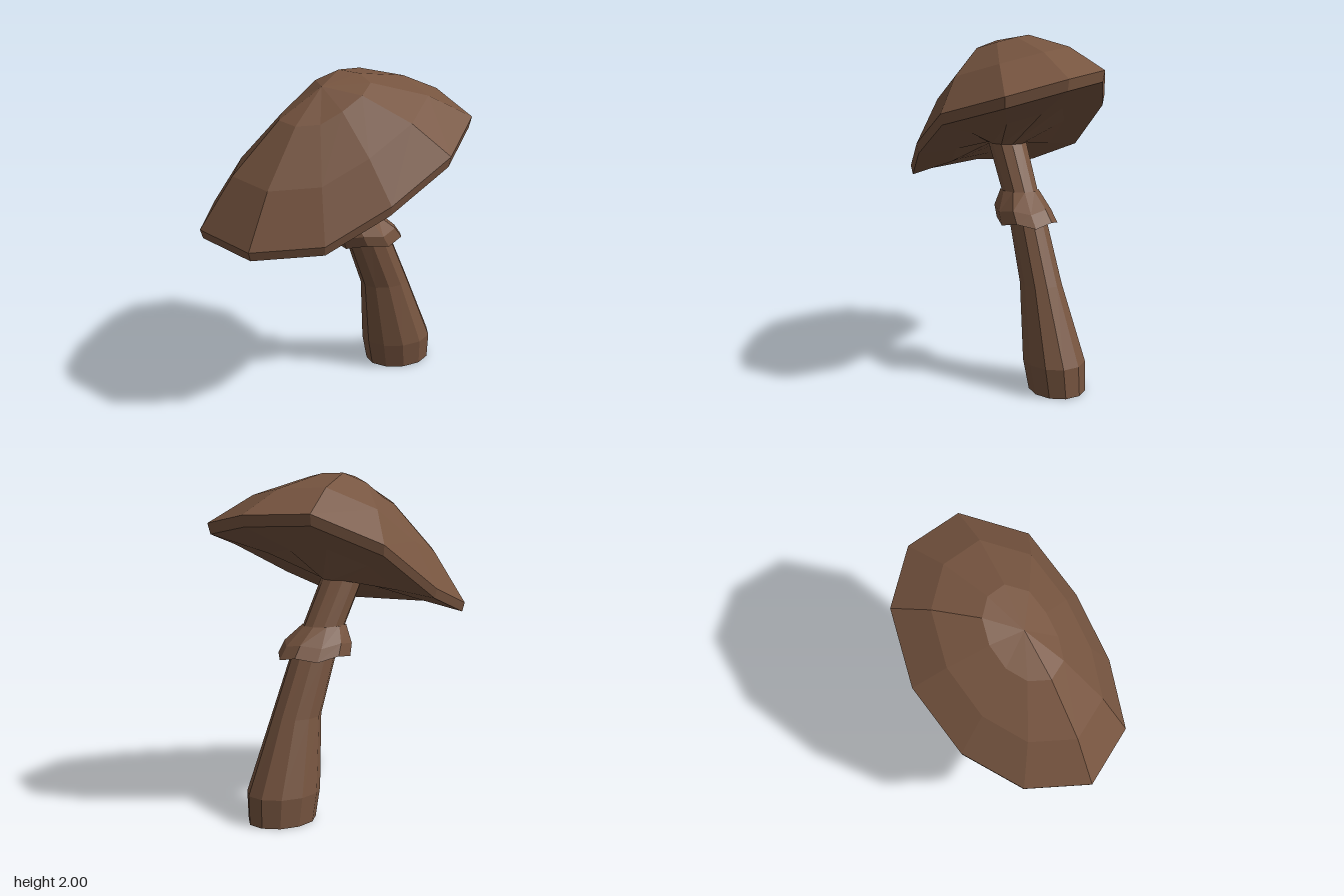
import * as THREE from 'three';

const brown = new THREE.MeshStandardMaterial({ color: 0x775540, flatShading: true });
brown.name = 'mushroom brown';

// Faceted skin over equal-length rings, listed bottom to top (or inside to outside)
function loft(name, rings) {
  const pos = [];
  const tri = (a, b, c) => {
    if (a.distanceTo(b) < 1e-5 || b.distanceTo(c) < 1e-5 || c.distanceTo(a) < 1e-5) return;
    for (const p of [a, b, c]) pos.push(p.x, p.y, p.z);
  };
  for (let k = 0; k < rings.length - 1; k++) {
    const lo = rings[k], hi = rings[k + 1], n = lo.length;
    for (let i = 0; i < n; i++) {
      const j = (i + 1) % n;
      tri(lo[i], lo[j], hi[j]);
      tri(lo[i], hi[j], hi[i]);
    }
  }
  const geo = new THREE.BufferGeometry();
  geo.setAttribute('position', new THREE.Float32BufferAttribute(pos, 3));
  geo.computeVertexNormals();
  const mesh = new THREE.Mesh(geo, brown);
  mesh.name = name;
  return mesh;
}

// Oval ring from its x and z limits; wave lifts and drops alternate corners
function oval(y, x0, x1, z0, z1, { wave = 0, sides = 11 } = {}) {
  return Array.from({ length: sides }, (_, i) => {
    const a = ((i + 0.1) / sides) * Math.PI * 2;
    return new THREE.Vector3(
      (x0 + x1) / 2 + (Math.cos(a) * (x1 - x0)) / 2,
      y + (i % 2 ? wave : -wave),
      (z0 + z1) / 2 - (Math.sin(a) * (z1 - z0)) / 2);
  });
}

export function createModel() {
  const group = new THREE.Group();
  group.name = 'mushroom';

  // Cap: an uneven tilted rim, scaled and shifted to make the other rings
  const rim = [
    [0.74, 1.8, -0.2], [0.45, 1.82, -0.47], [0.05, 1.64, -0.57], [-0.33, 1.355, -0.49],
    [-0.65, 1.21, -0.27], [-0.82, 1.19, 0.08], [-0.63, 1.165, 0.43], [-0.23, 1.2, 0.565],
    [0.16, 1.39, 0.565], [0.55, 1.605, 0.47], [0.815, 1.72, 0.16],
  ];
  const capRing = (s, cx, cy, cz) => rim.map(([x, y, z]) =>
    new THREE.Vector3(cx + s * x, cy + s * (y - 1.48), cz + s * z));
  const stemTop = oval(1.37, -0.1, 0.16, -0.1, 0.125);
  group.add(loft('cap', [
    stemTop,
    capRing(0.58, 0, 1.395, 0),
    capRing(0.98, 0, 1.42, 0),
    capRing(1, 0, 1.48, 0),
    capRing(0.71, -0.04, 1.7, 0.03),
    capRing(0.33, -0.07, 1.888, 0.05),
    capRing(0, -0.08, 1.96, 0.06),
  ]));

  // Leaning stem, closed at the base
  group.add(loft('stem', [
    oval(0, 0.52, 0.52, -0.19, -0.19),
    oval(0, 0.315, 0.725, -0.355, -0.03),
    oval(0.17, 0.28, 0.725, -0.355, 0),
    oval(0.6, 0.24, 0.545, -0.24, 0),
    oval(0.96, 0.11, 0.39, -0.175, 0.04),
    oval(1.11, 0.04, 0.3, -0.14, 0.07),
    stemTop,
  ]));

  // Skirt flaring around the stem, with a ragged hem tucked back underneath
  const hem = { sides: 10 };
  group.add(loft('skirt', [
    oval(0.99, 0.09, 0.38, -0.17, 0.045, hem),
    oval(0.94, 0.025, 0.475, -0.24, 0.11, { ...hem, wave: 0.012 }),
    oval(1.01, 0.005, 0.425, -0.21, 0.118, { ...hem, wave: 0.01 }),
    oval(1.11, 0.035, 0.305, -0.145, 0.075, hem),
  ]));

  return group;
}
